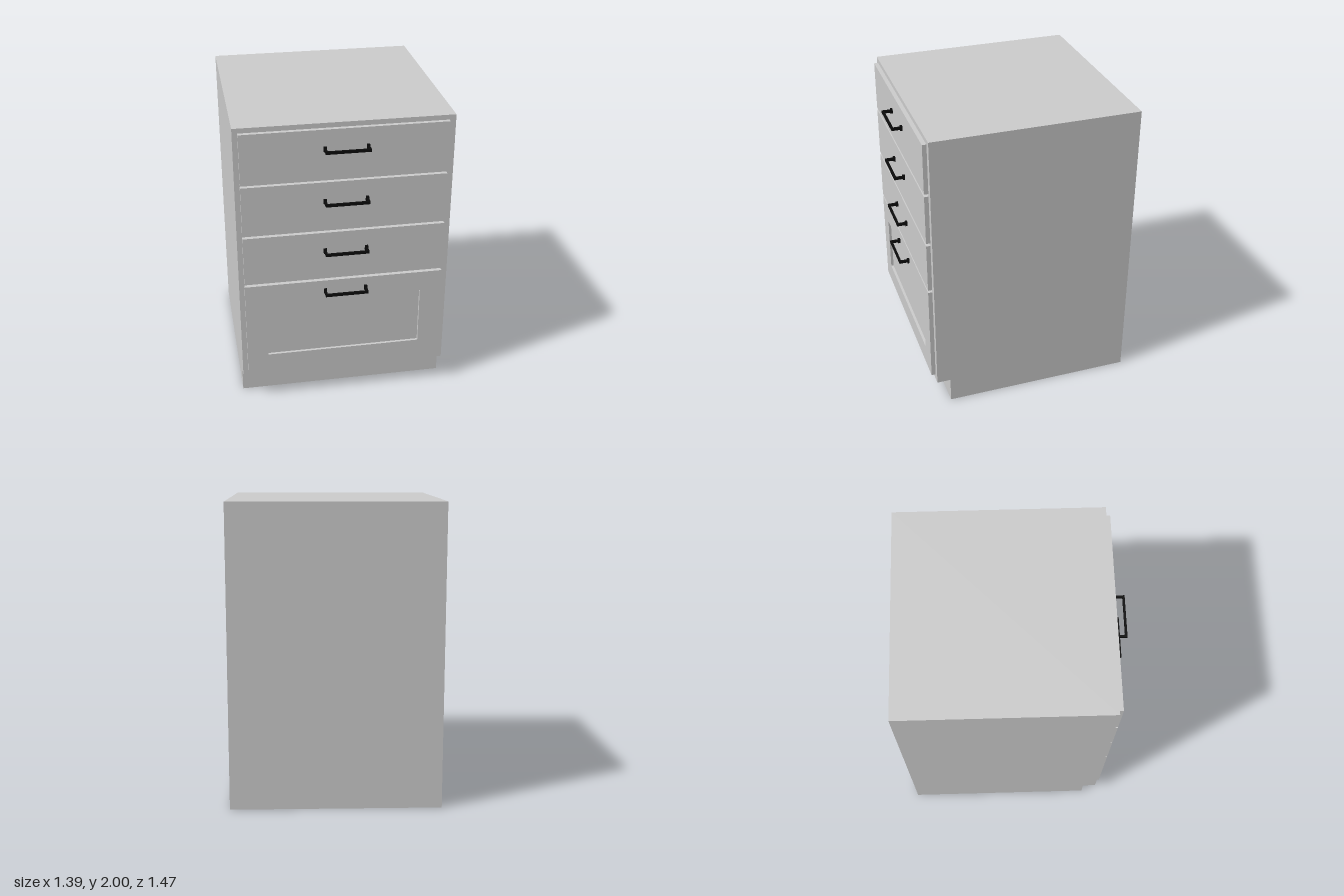
import * as THREE from 'three';

const grey = new THREE.MeshStandardMaterial({ color: 0xcccccc });
const black = new THREE.MeshStandardMaterial({ color: 0x0a0a0a });

// Box given by its limits on each axis
function box(name, [x0, x1], [y0, y1], [z0, z1], material = grey) {
  const mesh = new THREE.Mesh(new THREE.BoxGeometry(x1 - x0, y1 - y0, z1 - z0), material);
  mesh.position.set((x0 + x1) / 2, (y0 + y1) / 2, (z0 + z1) / 2);
  mesh.name = name;
  return mesh;
}

// Bar pull: two feet, two posts and a straight grip
function makeHandle(y, z) {
  const handle = new THREE.Group();
  handle.name = 'handle';
  for (const x of [-0.135, 0.135]) {
    handle.add(
      box('handleFoot', [x - 0.01, x + 0.01], [-0.016, 0.016], [0, 0.015], black),
      box('handlePost', [x - 0.007, x + 0.007], [-0.009, 0.009], [0.015, 0.071], black),
    );
  }
  handle.add(box('handleGrip', [-0.142, 0.142], [-0.009, 0.009], [0.057, 0.071], black));
  handle.position.set(0.002, y, z);
  return handle;
}

export function createModel() {
  const model = new THREE.Group();
  model.name = 'drawerCabinet';
  const back = -0.735, face = 0.636, front = 0.664, halfWidth = 0.696;

  // Carcass: side profile with toe kick, extruded across the width
  const side = new THREE.Shape([
    [-back, 0], [-back, 2], [-face, 2], [-face, 0.175], [-0.544, 0.175], [-0.544, 0],
  ].map(([x, y]) => new THREE.Vector2(x, y)));
  const carcassGeometry = new THREE.ExtrudeGeometry(side, { depth: 2 * halfWidth, bevelEnabled: false });
  carcassGeometry.translate(0, 0, -halfWidth).rotateY(Math.PI / 2);
  const carcass = new THREE.Mesh(carcassGeometry, grey);
  carcass.name = 'carcass';
  model.add(carcass);

  // Flat drawer fronts
  const width = [-0.662, 0.653];
  for (const y of [[1.632, 1.968], [1.276, 1.614], [0.918, 1.257]]) {
    model.add(box('drawerFront', width, y, [face, front]));
  }

  // Bottom front: rails and stiles around a recessed panel
  const frame = new THREE.Group();
  frame.name = 'framedFront';
  const depth = [face, front], opening = [0.354, 0.759];
  frame.add(
    box('topRail', width, [opening[1], 0.9], depth),
    box('bottomRail', width, [0.214, opening[0]], depth),
    box('rightStile', [width[0], -0.522], opening, depth),
    box('leftStile', [0.511, width[1]], opening, depth),
    box('recessedPanel', [-0.522, 0.511], opening, [face, 0.646]),
  );
  model.add(frame);

  for (const y of [1.841, 1.483, 1.127, 0.824]) model.add(makeHandle(y, front));
  return model;
}
